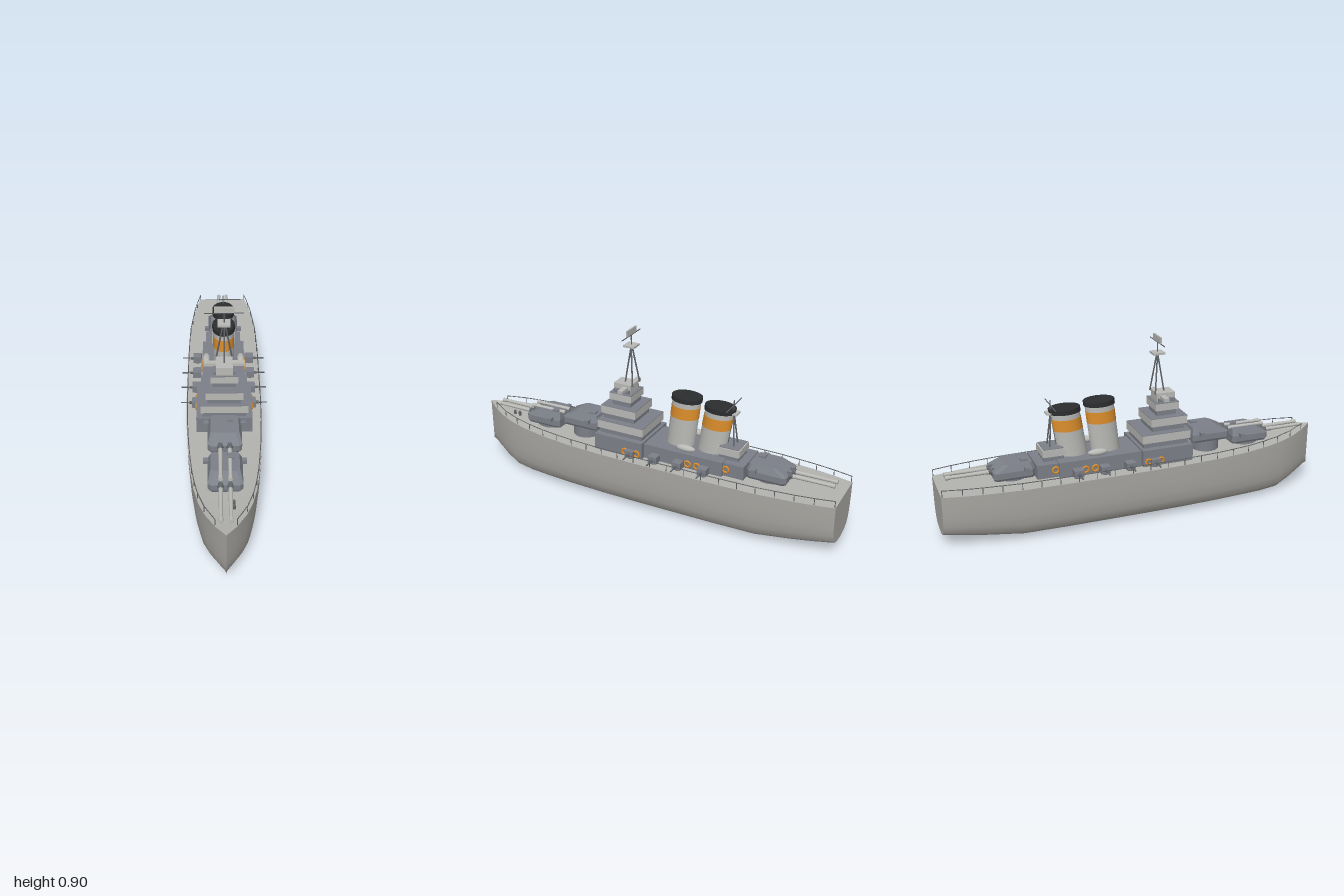
import * as THREE from 'three';

const mat = (name, color, side = THREE.FrontSide) => {
  const m = new THREE.MeshStandardMaterial({ color, side });
  m.name = name;
  return m;
};

export function createModel() {
  const ship = new THREE.Group();
  ship.name = 'warship';
  const hullGrey = mat('hull grey', 0xaaa8a3);
  const deckGrey = mat('deck grey', 0xb3b3af);
  const steel = mat('steel blue grey', 0x7c8088);
  const light = mat('light grey', 0xb9b9b6);
  const dark = mat('dark metal', 0x63666a);
  const black = mat('funnel black', 0x2c2d2f);
  const orange = mat('orange', 0xdd8f2c);

  const add = (name, geo, m, x = 0, y = 0, z = 0, parent = ship) => {
    const mesh = new THREE.Mesh(geo, m);
    mesh.name = name;
    mesh.position.set(x, y, z);
    parent.add(mesh);
    return mesh;
  };
  // box given by its half width and its y and z ranges
  const block = (name, m, hw, y0, y1, z0, z1, x = 0, parent = ship) =>
    add(name, new THREE.BoxGeometry(hw * 2, y1 - y0, Math.abs(z1 - z0)), m, x, (y0 + y1) / 2, (z0 + z1) / 2, parent);
  // round rod between two points
  const rod = (name, m, a, b, r, parent = ship, r2 = r, sides = 8) => {
    const p = new THREE.Vector3(...a), q = new THREE.Vector3(...b), d = q.clone().sub(p);
    const mesh = add(name, new THREE.CylinderGeometry(r2, r, d.length(), sides), m, 0, 0, 0, parent);
    mesh.position.copy(p).add(q).multiplyScalar(0.5);
    mesh.quaternion.setFromUnitVectors(new THREE.Vector3(0, 1, 0), d.normalize());
    return mesh;
  };
  const surface = (pos, idx) => {
    const g = new THREE.BufferGeometry();
    g.setAttribute('position', new THREE.Float32BufferAttribute(pos, 3));
    g.setIndex(idx);
    g.computeVertexNormals();
    return g;
  };

  // Hull stations: z, half width, deck height, keel height
  const stations = [
    [-1, 0.132, 0.28, 0.05], [-0.9, 0.153, 0.28, 0.036], [-0.8, 0.168, 0.28, 0.023], [-0.62, 0.185, 0.28, 0.001],
    [-0.4, 0.19, 0.28, 0], [0, 0.19, 0.28, 0], [0.2, 0.186, 0.28, 0], [0.4, 0.175, 0.281, 0], [0.55, 0.161, 0.285, 0],
    [0.68, 0.143, 0.293, 0], [0.78, 0.12, 0.301, 0.005], [0.86, 0.09, 0.31, 0.037], [0.94, 0.045, 0.32, 0.073], [1, 0, 0.33, 0.1],
  ];
  const section = [[0, 0], [0.32, 0.015], [0.55, 0.045], [0.72, 0.1], [0.84, 0.18], [0.92, 0.32], [0.965, 0.5], [0.99, 0.72], [1, 1]];
  const n = section.length;
  for (const s of [1, -1]) {
    const pos = [], idx = [];
    stations.forEach(([z, w, d, k], i) => section.forEach(([u, v], j) => {
      pos.push(s * w * u, k + (d - k) * v, z);
      if (!i || !j) return;
      const a = (i - 1) * n + j - 1, b = a + 1, c = i * n + j, e = c - 1;
      idx.push(...(s > 0 ? [a, b, c, a, c, e] : [a, c, b, a, e, c]));
    }));
    add(s > 0 ? 'hullLeft' : 'hullRight', surface(pos, idx), hullGrey);
  }
  // Deck strip and flat stern
  const strip = (pts) => {
    const pos = [], idx = [];
    pts.forEach(([w, y, z], i) => {
      pos.push(-w, y, z, w, y, z);
      const a = 2 * i - 2;
      if (i) idx.push(a, a + 2, a + 1, a + 1, a + 2, a + 3);
    });
    return surface(pos, idx);
  };
  add('deck', strip(stations.map(([z, w, d]) => [w, d, z])), deckGrey);
  add('stern', strip(section.map(([u, v]) => [0.132 * u, 0.05 + 0.23 * v, -1])), hullGrey);

  // Deck railings
  const edge = (z) => {
    const i = Math.max(1, stations.findIndex((t) => t[0] >= z)), a = stations[i - 1], b = stations[i];
    const t = (z - a[0]) / (b[0] - a[0]);
    return [a[1] + (b[1] - a[1]) * t - 0.005, a[2] + (b[2] - a[2]) * t];
  };
  for (const s of [1, -1]) {
    let last = null;
    for (let i = 0; i <= 21; i++) {
      const z = -0.995 + i * 0.0915, [x, y] = edge(z);
      const top = [s * x, y + 0.033, z];
      rod('railPost', dark, [s * x, y, z], top, 0.002, ship, 0.002, 5);
      if (last) rod('handRail', dark, last, top, 0.0022, ship, 0.0022, 5);
      last = top;
    }
  }

  // Main gun turrets: stacked outlines with chamfered corners
  const turretShell = () => {
    const loops = [[0, 0.074, -0.1, 0.095], [0.012, 0.08, -0.1, 0.1], [0.042, 0.08, -0.1, 0.1], [0.074, 0.066, -0.092, 0.04]];
    const c = 0.014, pos = [], idx = [];
    for (const [y, w, b, f] of loops) {
      for (const [x, z] of [[w, b + c], [w, f - c], [w - c, f], [c - w, f], [-w, f - c], [-w, b + c], [c - w, b], [w - c, b]]) pos.push(x, y, z);
    }
    for (let l = 0; l < 3; l++) for (let k = 0; k < 8; k++) {
      const a = l * 8 + k, b = l * 8 + (k + 1) % 8;
      idx.push(a, a + 8, b, b, a + 8, b + 8);
    }
    for (let k = 1; k < 7; k++) idx.push(24, 24 + k + 1, 24 + k, 0, k, k + 1);
    // outlines run clockwise from above, so flip every face outward
    for (let k = 0; k < idx.length; k += 3) [idx[k + 1], idx[k + 2]] = [idx[k + 2], idx[k + 1]];
    const g = surface(pos, idx);
    // make winding face outward by signed volume
    const P = (i) => new THREE.Vector3(pos[3 * i], pos[3 * i + 1] - 0.035, pos[3 * i + 2]);
    for (let k = 0; k < idx.length; k += 3) {
      const [A, B, C] = [P(idx[k]), P(idx[k + 1]), P(idx[k + 2])];
      if (A.dot(B.cross(C)) < 0) [idx[k + 1], idx[k + 2]] = [idx[k + 2], idx[k + 1]];
    }
    g.setIndex(idx);
    const flat = g.toNonIndexed();
    flat.computeVertexNormals();
    return flat;
  };
  const turret = (name, y, z, turn) => {
    const t = new THREE.Group();
    t.name = name;
    t.position.set(0, y, z);
    t.rotation.y = turn;
    ship.add(t);
    add('gunHouse', turretShell(), steel, 0, 0, 0, t);
    add('barbette', new THREE.CylinderGeometry(0.07, 0.07, y - 0.275, 24), steel, 0, (0.275 - y) / 2, 0, t);
    for (const s of [1, -1]) {
      const x = s * 0.022;
      rod('barrelSleeve', dark, [x, 0.036, 0.085], [x, 0.036, 0.115], 0.016, t, 0.013, 14);
      rod('barrel', light, [x, 0.036, 0.1], [x, 0.036, 0.305], 0.0105, t, 0.008, 14);
      rod('muzzle', light, [x, 0.036, 0.298], [x, 0.036, 0.32], 0.0105, t, 0.0105, 14);
      block('rangefinderEar', steel, 0.012, 0.04, 0.06, -0.068, -0.046, s * 0.088, t);
    }
    block('roofHatch', steel, 0.015, 0.07, 0.083, -0.075, -0.04, 0.027, t);
  };
  turret('foreTurret', 0.303, 0.61, 0);
  turret('raisedTurret', 0.34, 0.385, 0);
  turret('aftTurret', 0.29, -0.64, Math.PI);

  // Deckhouses
  block('midDeckhouse', steel, 0.11, 0.275, 0.355, -0.43, 0);
  block('aftDeckhouse', steel, 0.094, 0.275, 0.35, -0.535, -0.42);
  block('aftHouse', steel, 0.056, 0.35, 0.375, -0.49, -0.39);
  block('aftHouseBand', light, 0.061, 0.372, 0.408, -0.497, -0.383);
  block('aftHouseRoof', steel, 0.056, 0.408, 0.411, -0.49, -0.39);
  block('bridgeBase', steel, 0.136, 0.275, 0.365, -0.01, 0.256);

  // Bridge tower tiers: half width, bottom, band bottom, top, back, front
  for (const [w, y0, yb, y1, z0, z1] of [
    [0.115, 0.365, 0.392, 0.436, -0.005, 0.251], [0.09, 0.436, 0.464, 0.507, 0.05, 0.242], [0.066, 0.507, 0.536, 0.575, 0.084, 0.206],
  ]) {
    block('bridgeTier', steel, w - 0.01, y0, yb, z0 + 0.01, z1 - 0.01);
    block('bridgeBand', light, w, yb, y1 - 0.003, z0, z1);
    block('bridgeRoof', steel, w, y1 - 0.003, y1, z0, z1);
  }
  block('lookoutRoom', steel, 0.054, 0.575, 0.592, 0.105, 0.19);
  block('lookoutTop', light, 0.04, 0.575, 0.618, 0.1, 0.195);
  block('lookoutWing', light, 0.098, 0.591, 0.607, 0.115, 0.142);

  // Tripod masts
  const mast = (name, z, y0, y1, top, spread, yardY) => {
    const g = new THREE.Group();
    g.name = name;
    ship.add(g);
    rod('mastLeg', dark, [0, y0, z + spread], [0, y1, z], 0.004, g);
    for (const s of [1, -1]) rod('mastLeg', dark, [s * spread, y0, z - spread * 0.65], [s * 0.003, y1, z], 0.004, g);
    rod('topPole', dark, [0, y1, z], [0, top, z], 0.003, g);
    rod('yard', dark, [-0.092, yardY, z], [0.092, yardY, z], 0.0025, g);
    return g;
  };
  const fore = mast('foreMast', 0.115, 0.615, 0.82, 0.89, 0.037, 0.871);
  block('mastPlatform', light, 0.03, 0.812, 0.822, 0.085, 0.145, 0, fore);
  block('radarPanel', light, 0.047, 0.874, 0.904, 0.111, 0.119, 0, fore);
  const aft = mast('aftMast', -0.435, 0.41, 0.575, 0.64, 0.025, 0.615);
  block('mastPlatform', light, 0.024, 0.572, 0.58, -0.46, -0.41, 0, aft);

  // Raked oval funnels in coloured rings
  const funnel = (name, zBase, zTop, top, rings) => {
    const g = new THREE.Group();
    g.name = name;
    ship.add(g);
    const at = (y) => zBase + (zTop - zBase) * (y - 0.35) / (top - 0.35);
    for (const [part, m, y0, y1, grow] of rings) {
      const geo = new THREE.CylinderGeometry(1, 1, y1 - y0, 32);
      geo.scale(0.053 * grow, 1, 0.073 * grow);
      const slope = (at(y1) - at(y0)) / (y1 - y0), p = geo.attributes.position;
      for (let i = 0; i < p.count; i++) {
        const y = p.getY(i), z = p.getZ(i);
        p.setXYZ(i, p.getX(i), y - z * slope * 0.25, z + y * slope);
      }
      add(part, geo, m, 0, (y0 + y1) / 2, at((y0 + y1) / 2), g);
    }
  };
  const rings = (top) => [
    ['funnelCasing', light, 0.345, top - 0.02, 1], ['funnelStripe', orange, top - 0.112, top - 0.052, 1.015], ['funnelCap', black, top - 0.024, top, 1.08],
  ];
  funnel('foreFunnel', -0.16, -0.192, 0.615, rings(0.615));
  funnel('aftFunnel', -0.328, -0.368, 0.597, rings(0.597));

  for (const s of [1, -1]) {
    // Secondary guns along each side
    for (const z of [0.05, -0.08, -0.21, -0.345]) {
      block('sideGunHouse', steel, 0.022, 0.286, 0.322, z - 0.023, z + 0.023, s * 0.138);
      add('sideGunBase', new THREE.CylinderGeometry(0.018, 0.018, 0.012, 14), dark, s * 0.138, 0.282, z);
      rod('sideGunSleeve', dark, [s * 0.158, 0.304, z], [s * 0.175, 0.304, z], 0.007);
      rod('sideGunBarrel', dark, [s * 0.17, 0.304, z], [s * 0.217, 0.304, z], 0.0035);
    }
    // Lifebuoys on the deckhouse walls
    for (const [x, z, y] of [[0.139, 0.082, 0.305], [0.139, 0.018, 0.305], [0.113, -0.25, 0.305], [0.113, -0.3, 0.305], [0.097, -0.445, 0.318]]) {
      const ring = add('lifebuoy', new THREE.TorusGeometry(0.015, 0.005, 8, 20), orange, s * x, y, z);
      ring.rotation.y = Math.PI / 2;
    }
    // Ship's boats on davits
    const boat = add('shipBoat', new THREE.SphereGeometry(1, 20, 12), light, s * 0.09, 0.377, -0.23);
    boat.scale.set(0.019, 0.017, 0.05);
    for (const z of [-0.2, -0.26]) rod('davit', dark, [s * 0.07, 0.355, z], [s * 0.09, 0.385, z], 0.003);
  }

  // Bow bollards
  for (const z of [0.785, 0.815]) add('bollard', new THREE.CylinderGeometry(0.007, 0.007, 0.024, 10), dark, 0.037, 0.313, z);

  return ship;
}
